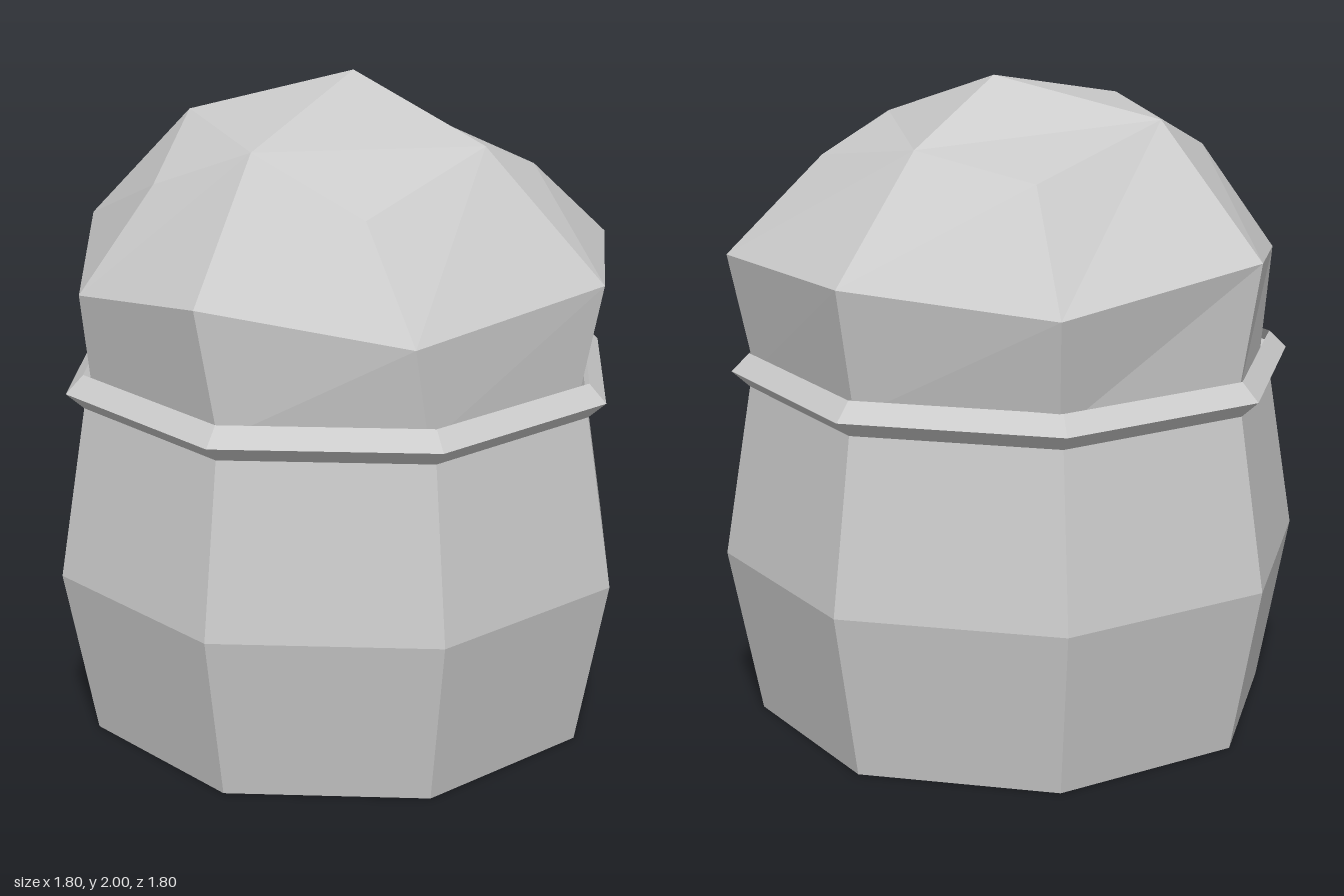
import * as THREE from 'three';

const material = new THREE.MeshStandardMaterial({
  color: 0xcccccc, flatShading: true, side: THREE.DoubleSide,
});

// Eight-sided open shell turned from a profile of [radius, height] points
function turned(name, profile) {
  const points = profile.map(([r, y]) => new THREE.Vector2(r, y));
  const mesh = new THREE.Mesh(new THREE.LatheGeometry(points, 8), material);
  mesh.name = name;
  return mesh;
}

// Uneven, hand-cut lid: three rings of eight points, closed by four facets at the apex.
// Each ring starts at the front and runs towards +x.
function createLid() {
  const rim = [
    [-0.005, 1.1, 0.79], [0.545, 1.1, 0.56], [0.775, 1.1, -0.02], [0.56, 1.1, -0.57],
    [0, 1.1, -0.79], [-0.56, 1.1, -0.57], [-0.8, 1.1, 0], [-0.555, 1.1, 0.56],
  ];
  const brow = [
    [-0.05, 1.49, 0.84], [0.53, 1.39, 0.62], [0.825, 1.435, -0.08], [0.63, 1.46, -0.605],
    [0, 1.485, -0.865], [-0.61, 1.435, -0.64], [-0.85, 1.505, 0.04], [-0.555, 1.415, 0.62],
  ];
  const crown = [
    [-0.04, 1.87, 0.505], [0.305, 1.7, 0.47], [0.465, 1.833, -0.015], [0.51, 1.73, -0.29],
    [0.02, 1.82, -0.47], [-0.395, 1.763, -0.45], [-0.47, 1.88, 0.085], [-0.37, 1.74, 0.49],
  ];
  const apex = [-0.02, 2, -0.13];

  const positions = [];
  const quad = (a, b, c, d) => positions.push(...a, ...b, ...c, ...a, ...c, ...d);

  // Side facets
  for (const [low, high] of [[rim, brow], [brow, crown]]) {
    for (let i = 0; i < 8; i++) {
      const j = (i + 1) % 8;
      quad(low[i], low[j], high[j], high[i]);
    }
  }
  // Top facets, each spanning one corner of the crown
  for (let i = 0; i < 8; i += 2) {
    quad(crown[i], crown[i + 1], crown[(i + 2) % 8], apex);
  }

  const geometry = new THREE.BufferGeometry();
  geometry.setAttribute('position', new THREE.Float32BufferAttribute(positions, 3));
  geometry.computeVertexNormals();
  const mesh = new THREE.Mesh(geometry, material);
  mesh.name = 'lid';
  return mesh;
}

export function createModel() {
  const model = new THREE.Group();
  model.name = 'liddedBarrel';
  model.add(
    // Bulging body, open at the bottom and top
    turned('body', [[0.8, 0], [0.9, 0.52], [0.815, 1.05]]),
    // Pointed band around the neck
    turned('neckBand', [[0.815, 1.05], [0.87, 1.1], [0.815, 1.155]]),
    createLid(),
  );
  return model;
}
